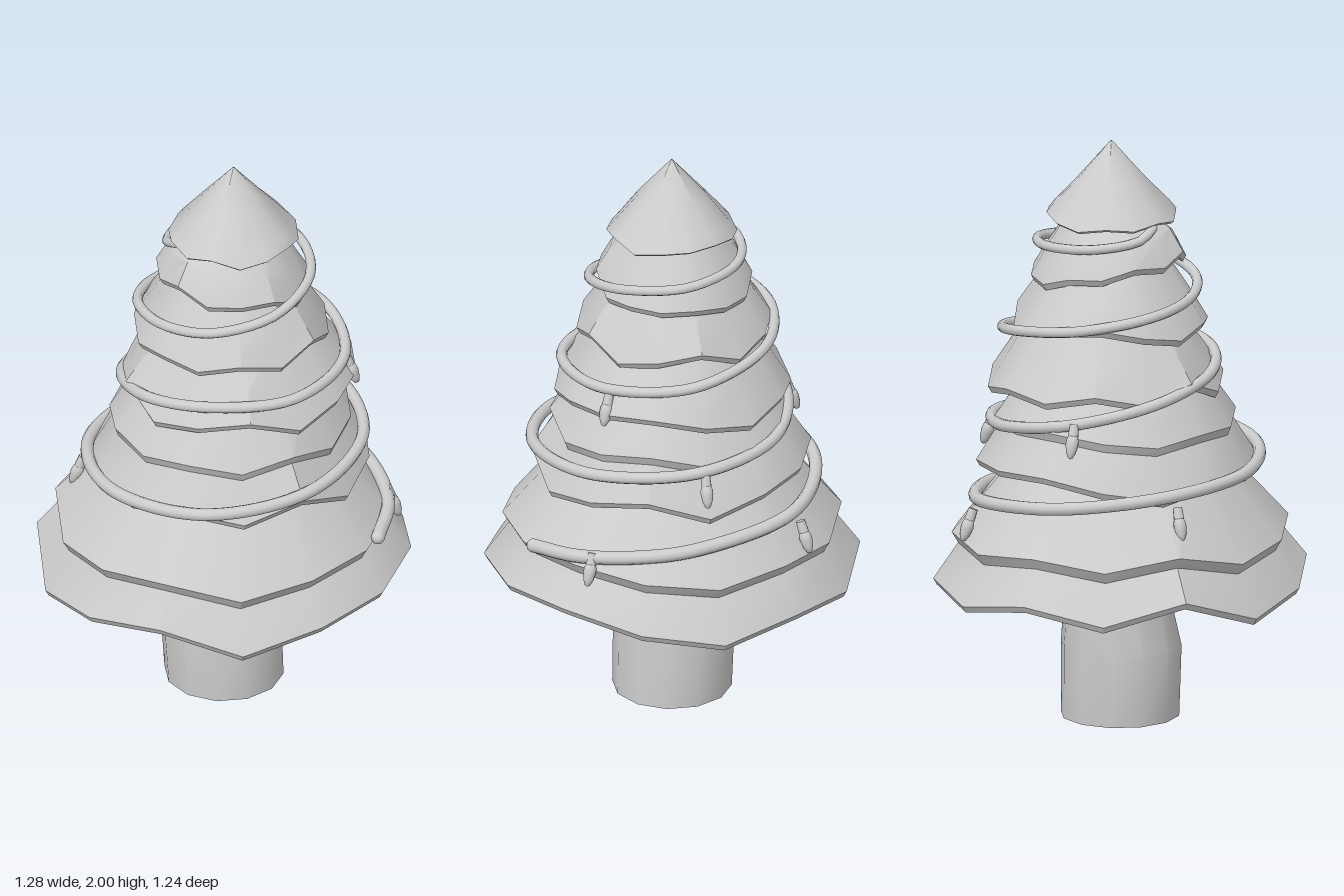
import * as THREE from 'three';
import { toCreasedNormals } from 'three/addons/utils/BufferGeometryUtils.js';

const SIDES = 14;
// Uneven scallop of the skirt edges, one height offset per corner
const WAVE = [0.045, 0.03, 0.015, -0.045, 0.04, -0.005, -0.05, 0.045, -0.03, 0.02, -0.03, 0.0, -0.05, -0.005];

const material = new THREE.MeshStandardMaterial({ color: 0xcccccc });
const doubleSided = new THREE.MeshStandardMaterial({ color: 0xcccccc, side: THREE.DoubleSide });

function addMesh(parent, name, geometry, mat = material) {
  const mesh = new THREE.Mesh(geometry, mat);
  mesh.name = name;
  parent.add(mesh);
  return mesh;
}

// Joins rings of points (listed from top to bottom) into one outward-facing surface
function loft(rings, sides, crease) {
  const index = [];
  for (let j = 0; j < rings.length - 1; j++) {
    for (let i = 0; i < sides; i++) {
      const a = j * sides + i, b = j * sides + (i + 1) % sides;
      index.push(a, a + sides, b, b, a + sides, b + sides);
    }
  }
  const geometry = new THREE.BufferGeometry();
  geometry.setAttribute('position', new THREE.Float32BufferAttribute(rings.flat(2), 3));
  geometry.setIndex(index);
  return toCreasedNormals(geometry, crease);
}

// Ring of points, anticlockwise seen from above
function ring(sides, r, y, cx, cz, heightAt = () => 0) {
  return Array.from({ length: sides }, (_, i) => {
    const a = (i / sides) * Math.PI * 2;
    return [cx + r * Math.cos(a), y + heightAt(i, a), cz - r * Math.sin(a)];
  });
}

// One skirt of branches: top, middle rings [radius, height], rim, then the underside
function skirt({ c, top, middle, rim, wave, shift, tilt = 0 }) {
  const [cx, cz] = c;
  const scallop = (amount) => (i, a) =>
    amount * WAVE[(2 * SIDES - i + shift) % SIDES] - tilt * Math.cos(a - Math.PI / 4);
  const edge = scallop(wave);
  return loft([
    ring(SIDES, top[0], top[1], cx, cz),
    ...middle.map(([r, y]) => ring(SIDES, r, y, cx, cz, scallop(wave * 0.6))),
    ring(SIDES, rim[0], rim[1], cx, cz, edge),
    ring(SIDES, rim[0] - 0.012, rim[1] - 0.022, cx, cz, edge),
    ring(SIDES, rim[0] - 0.04, rim[1] - 0.008, cx, cz, edge),
    ring(SIDES, top[0] * 0.55, top[1] - 0.08, cx, cz),
  ], SIDES, 0.55);
}

// The two lowest skirts have a second layer overhanging their rim
const SKIRTS = [
  { c: [0, 0], top: [0.3, 0.98], middle: [[0.575, 0.655], [0.553, 0.617]], rim: [0.638, 0.495], wave: 1, shift: 0 },
  { c: [0.02, -0.01], top: [0.29, 1.23], middle: [[0.412, 1.045], [0.4, 1.015]], rim: [0.475, 0.89], wave: 0.75, shift: 5 },
  { c: [0.045, -0.035], top: [0.24, 1.42], middle: [[0.335, 1.285]], rim: [0.402, 1.185], wave: 0.7, shift: 1 },
  { c: [0.022, -0.025], top: [0.19, 1.6], middle: [[0.272, 1.485]], rim: [0.332, 1.39], wave: 0.6, shift: 6 },
  { c: [0.03, -0.03], top: [0.14, 1.75], middle: [[0.218, 1.66]], rim: [0.265, 1.575], wave: 0.4, shift: 2, tilt: 0.04 },
];

// Garland path: angle in degrees (anticlockwise from above), radius, height
const GARLAND = [
  [-19, 0.58, 0.69], [0, 0.56, 0.71], [22, 0.525, 0.73], [45, 0.5, 0.75], [90, 0.5, 0.79],
  [135, 0.485, 0.83], [180, 0.465, 0.87], [225, 0.47, 0.895], [270, 0.48, 0.92], [315, 0.475, 0.95],
  [360, 0.475, 0.985], [405, 0.455, 1.015], [450, 0.42, 1.045], [495, 0.385, 1.1], [540, 0.35, 1.165],
  [585, 0.33, 1.22], [630, 0.33, 1.255], [675, 0.38, 1.27], [720, 0.41, 1.285], [765, 0.415, 1.32],
  [810, 0.38, 1.375], [855, 0.335, 1.415], [900, 0.295, 1.455], [945, 0.26, 1.48], [990, 0.27, 1.515],
  [1035, 0.285, 1.56], [1080, 0.295, 1.61], [1125, 0.295, 1.64], [1170, 0.265, 1.66],
  [1215, 0.225, 1.675], [1260, 0.195, 1.7], [1280, 0.17, 1.73],
];

function garlandGeometry() {
  const curve = new THREE.CatmullRomCurve3(GARLAND.map(([deg, r, y]) => {
    const a = THREE.MathUtils.degToRad(deg);
    return new THREE.Vector3(r * Math.cos(a), y, -r * Math.sin(a));
  }));
  const segments = 220, sides = 10;
  const geometry = new THREE.TubeGeometry(curve, segments, 0.024, sides, false);
  // Thin the tube towards the treetop
  const pos = geometry.attributes.position;
  const p = new THREE.Vector3();
  for (let i = 0; i <= segments; i++) {
    const centre = curve.getPointAt(i / segments);
    for (let j = 0; j <= sides; j++) {
      const k = i * (sides + 1) + j;
      p.fromBufferAttribute(pos, k).sub(centre).multiplyScalar(1 - 0.32 * i / segments).add(centre);
      pos.setXYZ(k, p.x, p.y, p.z);
    }
  }
  return { geometry, start: curve.getPointAt(0), end: curve.getPointAt(1) };
}

// Bulb centres
const BULBS = [
  [0.57, 0.68, -0.06], [0.0, 0.71, -0.55], [-0.495, 0.78, 0.03],
  [0.31, 0.955, -0.36], [-0.3, 1.05, -0.285], [0.43, 1.22, -0.03],
];

function createBulb(x, y, z) {
  const bulb = new THREE.Group();
  bulb.name = 'lightBulb';
  const socket = addMesh(bulb, 'bulbSocket', new THREE.CylinderGeometry(0.016, 0.018, 0.04, 10));
  socket.position.y = 0.038;
  const profile = [[0, -0.06], [0.009, -0.055], [0.017, -0.037], [0.022, -0.01], [0.021, 0.005], [0.015, 0.022], [0, 0.024]];
  addMesh(bulb, 'bulbGlass', new THREE.LatheGeometry(profile.map(([r, h]) => new THREE.Vector2(r, h)), 12));
  bulb.position.set(x, y, z);
  // Swing the tip away from the tree
  bulb.rotation.set(0, Math.atan2(-z, x), 0.35, 'YXZ');
  return bulb;
}

export function createModel() {
  const tree = new THREE.Group();
  tree.name = 'tree';

  // Trunk, leaning a little as it narrows
  const trunkSides = 12;
  addMesh(tree, 'trunk', loft([
    ring(trunkSides, 0.13, 0.85, 0, -0.02),
    ring(trunkSides, 0.17, 0.5, -0.01, -0.02),
    ring(trunkSides, 0.207, 0.25, -0.012, 0),
    ring(trunkSides, 0.203, 0, 0, 0),
    ring(trunkSides, 0.0005, 0, 0, 0),
  ], trunkSides, 0.55));

  // Branch skirts from the ground up
  SKIRTS.forEach((s, i) => addMesh(tree, `branchSkirt${i + 1}`, skirt(s), doubleSided));

  // Pointed treetop with a gently scalloped rim
  const scallop = (i) => 0.3 * WAVE[(SIDES - i + 3) % SIDES];
  addMesh(tree, 'treetop', loft([
    ring(SIDES, 0.002, 2, 0.03, -0.02),
    ring(SIDES, 0.115, 1.87, 0.03, -0.02),
    ring(SIDES, 0.2, 1.77, 0.03, -0.02, scallop),
    ring(SIDES, 0.222, 1.742, 0.03, -0.02, scallop),
    ring(SIDES, 0.212, 1.734, 0.03, -0.02, scallop),
    ring(SIDES, 0.1, 1.76, 0.03, -0.02),
  ], SIDES, 0.8), doubleSided);

  // Garland with rounded ends
  const { geometry, start, end } = garlandGeometry();
  addMesh(tree, 'garland', geometry);
  addMesh(tree, 'garlandStart', new THREE.SphereGeometry(0.024, 10, 8)).position.copy(start);
  addMesh(tree, 'garlandEnd', new THREE.SphereGeometry(0.016, 10, 8)).position.copy(end);

  // Hanging lights
  BULBS.forEach((p) => tree.add(createBulb(...p)));
  return tree;
}
